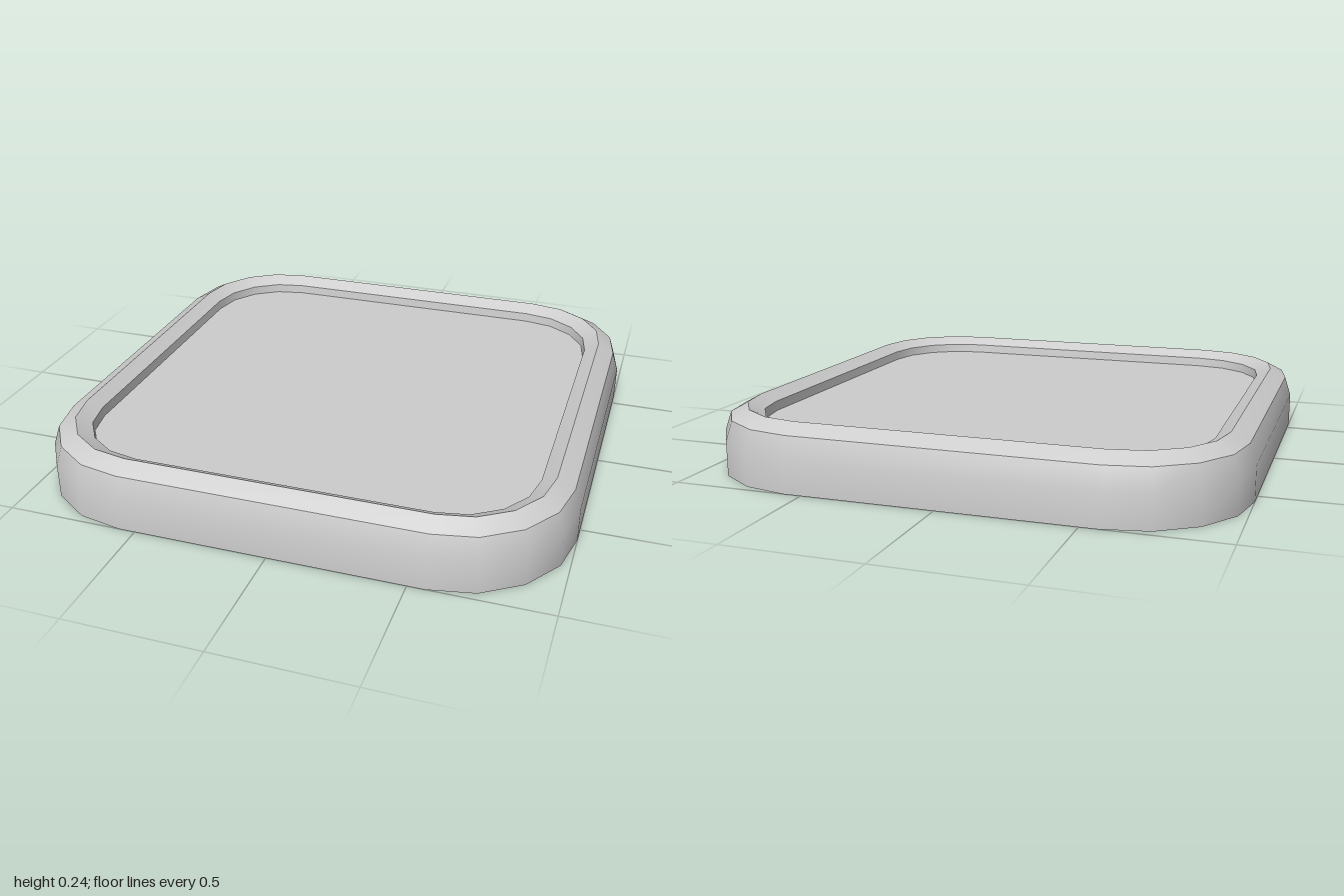
import * as THREE from 'three';
import { toCreasedNormals } from 'three/addons/utils/BufferGeometryUtils.js';

// Outline of a rounded square: four corners of four segments each
function outline(half, centre) {
  const points = [];
  for (let corner = 0; corner < 4; corner++) {
    const mid = (corner + 0.5) * Math.PI / 2;
    const cx = Math.sign(Math.cos(mid)) * centre;
    const cz = Math.sign(Math.sin(mid)) * centre;
    for (let k = 0; k <= 4; k++) {
      const t = (corner + k / 4) * Math.PI / 2;
      points.push([cx + Math.cos(t) * (half - centre), cz + Math.sin(t) * (half - centre)]);
    }
  }
  return points;
}

// Skin a stack of outlines, each given as [half width, height, corner centre]
function loft(profile) {
  const position = [], index = [];
  const n = 20;
  profile.forEach(([half, y, centre]) => {
    for (const [x, z] of outline(half, centre)) position.push(x, y, z);
  });
  for (let i = 0; i < profile.length - 1; i++) {
    for (let j = 0; j < n; j++) {
      const a = i * n + j, b = i * n + (j + 1) % n;
      index.push(a, a + n, b, b, a + n, b + n);
    }
  }
  const geometry = new THREE.BufferGeometry();
  geometry.setAttribute('position', new THREE.Float32BufferAttribute(position, 3));
  geometry.setIndex(index);
  return toCreasedNormals(geometry, 0.55);
}

export function createModel() {
  const group = new THREE.Group();
  group.name = 'tray';
  const grey = new THREE.MeshStandardMaterial({ color: 0xcccccc, side: THREE.DoubleSide });
  grey.name = 'light grey';

  // Hollow rim, open underneath: outer wall, bevelled crest, inner lip
  const rim = new THREE.Mesh(loft([
    [1, 0, 0.565],
    [1, 0.13, 0.565],
    [0.975, 0.205, 0.565],
    [0.91, 0.24, 0.565],
    [0.855, 0.21, 0.55],
    [0.845, 0.13, 0.55],
  ]), grey);
  rim.name = 'rim';
  group.add(rim);

  // Flat panel set inside the lip
  const shape = new THREE.Shape(outline(0.85, 0.55).map(([x, z]) => new THREE.Vector2(x, z)));
  const panel = new THREE.Mesh(new THREE.ShapeGeometry(shape).rotateX(-Math.PI / 2), grey);
  panel.position.y = 0.175;
  panel.name = 'panel';
  group.add(panel);

  return group;
}
